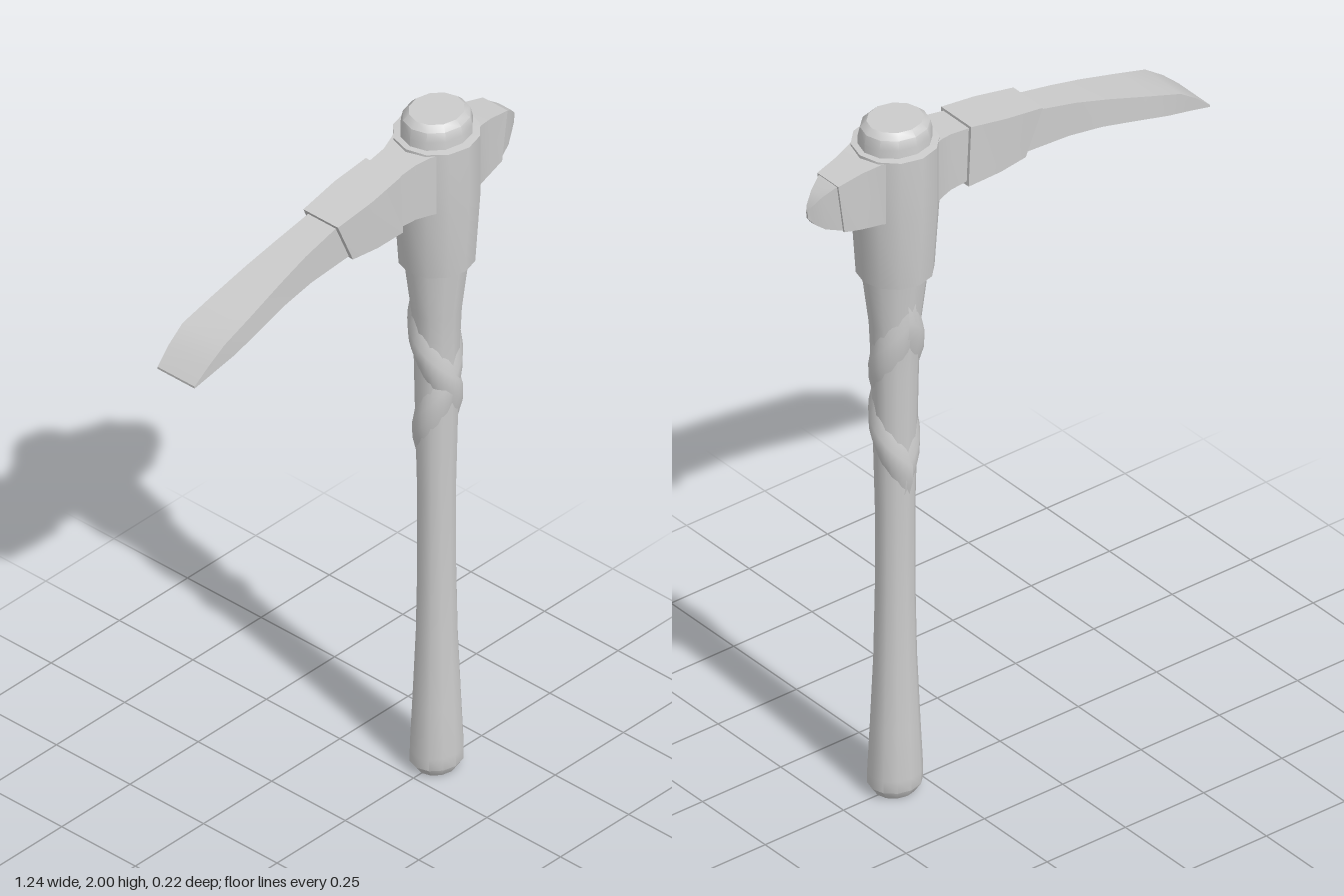
import * as THREE from 'three';
import { toCreasedNormals, mergeVertices } from 'three/addons/utils/BufferGeometryUtils.js';

const AXIS = 0.335; // x of the handle's centre line
const material = new THREE.MeshStandardMaterial({ color: 0xcccccc });
const bandMaterial = new THREE.MeshStandardMaterial({ color: 0xcccccc, side: THREE.DoubleSide });

// Handle radius by height: [radius, y]
const shaft = [[0, 0], [0.055, 0], [0.073, 0.025], [0.073, 0.06], [0.066, 0.2], [0.057, 0.4], [0.053, 0.6],
  [0.053, 0.85], [0.058, 1.05], [0.062, 1.25], [0.069, 1.4], [0.088, 1.55], [0.098, 1.75],
  [0.098, 1.96], [0.092, 1.985], [0.075, 2], [0, 2]];

function radiusAt(y) {
  for (let i = 2; i < shaft.length; i++) {
    const [r0, y0] = shaft[i - 1], [r1, y1] = shaft[i];
    if (y <= y1 && y1 > y0) return r0 + (r1 - r0) * (y - y0) / (y1 - y0);
  }
  return 0;
}

function addMesh(group, name, geometry, mat = material, crease = 0.6) {
  const mesh = new THREE.Mesh(toCreasedNormals(geometry, crease), mat);
  mesh.name = name;
  group.add(mesh);
  return mesh;
}

// Faceted turned part about the handle's centre line
function turned(points, sides, depth) {
  const g = new THREE.LatheGeometry(points.map(([r, y]) => new THREE.Vector2(r, y)), sides);
  return g.scale(1, 1, depth).translate(AXIS, 0, 0);
}

// Four-sided loft along x; each section is [topX, topY, bottomX, bottomY, halfWidth]
function loft(sections) {
  const pos = [], index = [];
  for (const [tx, ty, bx, by, w] of sections) {
    pos.push(tx, ty, w, tx, ty, -w, bx, by, -w, bx, by, w);
  }
  for (let s = 0; s < sections.length - 1; s++) {
    for (let k = 0; k < 4; k++) {
      const a = s * 4 + k, b = s * 4 + (k + 1) % 4;
      index.push(a, a + 4, b, b, a + 4, b + 4);
    }
  }
  const e = (sections.length - 1) * 4;
  index.push(0, 1, 2, 0, 2, 3, e, e + 2, e + 1, e, e + 3, e + 2);
  const g = new THREE.BufferGeometry();
  g.setAttribute('position', new THREE.Float32BufferAttribute(pos, 3));
  g.setIndex(index);
  return g;
}

// Flat band wound once round the handle; direction is 1 or -1
function windingBand(direction, lift) {
  const g = new THREE.PlaneGeometry(1, 1, 28, 3);
  const p = g.attributes.position;
  for (let i = 0; i < p.count; i++) {
    const u = p.getX(i) * 2, v = p.getY(i);
    const y = 1.185 - 0.225 * u + v * 0.13;
    const edge = Math.abs(v) > 0.4 ? -0.002 : lift;
    const r = radiusAt(y) + edge;
    const angle = direction * u * Math.PI * 1.05;
    p.setXYZ(i, AXIS + r * Math.sin(angle), y, r * 0.9 * Math.cos(angle));
  }
  return mergeVertices(g.deleteAttribute('normal').deleteAttribute('uv'));
}

export function createModel() {
  const model = new THREE.Group();
  model.name = 'pickaxe';

  // Wooden handle with a flared foot and a rounded top
  addMesh(model, 'handle', turned(shaft, 12, 0.9));

  // Crossed bands on the grip
  addMesh(model, 'gripBandFront', windingBand(1, 0.01), bandMaterial, 0.9);
  addMesh(model, 'gripBandBack', windingBand(-1, 0.007), bandMaterial, 0.9);

  // Tapered collar that holds the head
  addMesh(model, 'collar', turned([[0.085, 1.55], [0.1, 1.55], [0.113, 1.75], [0.113, 1.935], [0.08, 1.938]], 12, 0.98));

  // Necks on both sides of the collar
  addMesh(model, 'bladeNeck', loft([
    [0.12, 1.912, 0.12, 1.76, 0.05], [0.2, 1.923, 0.2, 1.757, 0.054],
    [0.24, 1.93, 0.24, 1.755, 0.066], [0.29, 1.934, 0.29, 1.755, 0.09],
  ]));
  addMesh(model, 'spikeNeck', loft([
    [0.38, 1.934, 0.38, 1.755, 0.09], [0.43, 1.93, 0.43, 1.752, 0.063],
    [0.48, 1.919, 0.48, 1.752, 0.05], [0.55, 1.903, 0.53, 1.76, 0.042],
  ]));

  // Short pointed spike
  addMesh(model, 'spike', loft([
    [0.545, 1.903, 0.525, 1.76, 0.038], [0.585, 1.877, 0.575, 1.777, 0.022],
    [0.61, 1.85, 0.6, 1.795, 0.009], [0.617, 1.835, 0.615, 1.815, 0.003],
  ]), material, 0.5);

  // Socket around the root of the blade
  addMesh(model, 'bladeSocket', loft([
    [-0.09, 1.885, -0.035, 1.76, 0.059], [0.03, 1.905, 0.05, 1.754, 0.065], [0.14, 1.922, 0.148, 1.748, 0.06],
  ]));

  // Long curved blade ending in a chisel edge
  addMesh(model, 'blade', loft([
    [-0.62, 1.677, -0.62, 1.671, 0.063], [-0.575, 1.717, -0.56, 1.688, 0.068],
    [-0.52, 1.755, -0.48, 1.706, 0.071], [-0.42, 1.786, -0.38, 1.729, 0.066],
    [-0.3, 1.823, -0.28, 1.749, 0.058], [-0.2, 1.85, -0.18, 1.76, 0.051],
    [-0.06, 1.88, -0.01, 1.766, 0.046],
  ]));

  return model;
}
